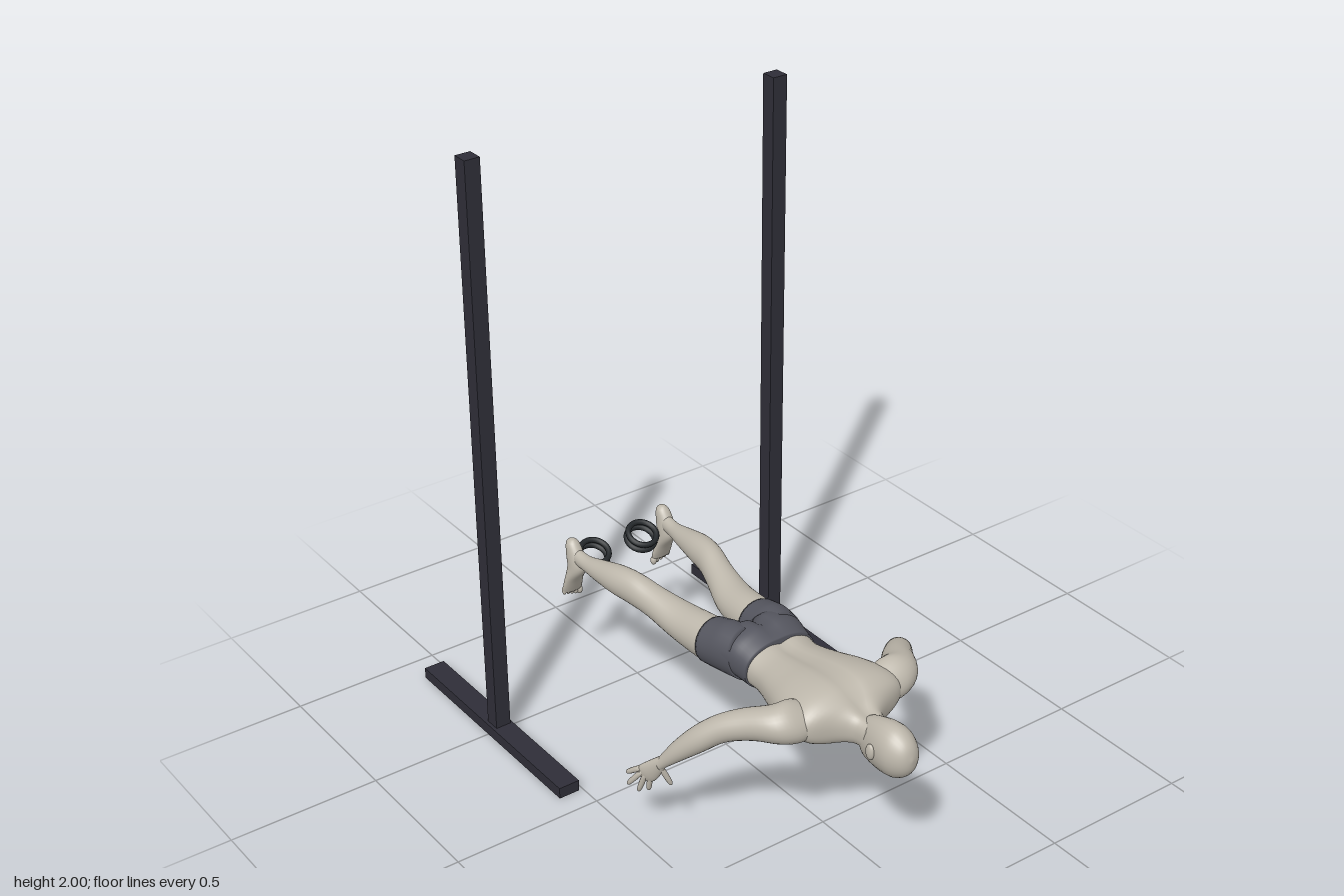
import * as THREE from 'three';

const skin = new THREE.MeshStandardMaterial({ color: 0xbdb7ab });
skin.name = 'skin';
const cloth = new THREE.MeshStandardMaterial({ color: 0x55565f });
cloth.name = 'shortsGrey';
const metal = new THREE.MeshStandardMaterial({ color: 0x2f2e38 });
metal.name = 'frameDark';
const rubber = new THREE.MeshStandardMaterial({ color: 0x23272a });
rubber.name = 'ringBlack';

// Catmull-Rom blend of number rows
function smoothRows(rows, steps) {
  const out = [];
  const at = (i) => rows[Math.max(0, Math.min(rows.length - 1, i))];
  for (let i = 0; i < rows.length - 1; i++) {
    for (let s = 0; s < steps; s++) {
      const t = s / steps;
      out.push(rows[i].map((b, k) => {
        const a = at(i - 1)[k], c = at(i + 1)[k], d = at(i + 2)[k];
        return 0.5 * (2 * b + (c - a) * t + (2 * a - 5 * b + 4 * c - d) * t * t + (3 * b - a - 3 * c + d) * t ** 3);
      }));
    }
  }
  out.push(rows[rows.length - 1]);
  return out;
}

// Closed skin over elliptic sections [x, y, z, radiusU, radiusV]; side mirrors x
function loft(name, mat, rows, { u = [1, 0, 0], side = 1, power = 2, seg = 28, steps = 4, rule } = {}) {
  const R = smoothRows(rows, steps).map((r) => [r[0] * side, ...r.slice(1)]);
  const first = new THREE.Vector3(...R[0]), last = new THREE.Vector3(...R[R.length - 1]);
  const W = last.clone().sub(first).normalize();
  const U = new THREE.Vector3(u[0] * side, u[1], u[2]);
  U.addScaledVector(W, -U.dot(W)).normalize();
  const V = W.clone().cross(U);
  const pos = [], idx = [];
  const bend = (v) => Math.sign(v) * Math.abs(v) ** (2 / power);
  for (const [x, y, z, a, b] of R) {
    for (let i = 0; i < seg; i++) {
      const t = (i / seg) * Math.PI * 2;
      const p = new THREE.Vector3(x, y, z)
        .addScaledVector(U, Math.max(a, 0.001) * bend(Math.cos(t)))
        .addScaledVector(V, Math.max(b, 0.001) * bend(Math.sin(t)));
      if (rule) rule(p);
      pos.push(p.x, p.y, p.z);
    }
  }
  for (let j = 0; j < R.length - 1; j++) {
    for (let i = 0; i < seg; i++) {
      const a = j * seg + i, b = j * seg + ((i + 1) % seg);
      idx.push(a, b, b + seg, a, b + seg, a + seg);
    }
  }
  const n = R.length * seg;
  pos.push(...first.toArray(), ...last.toArray());
  for (let i = 0; i < seg; i++) {
    const k = (i + 1) % seg, e = n - seg;
    idx.push(n, k, i, n + 1, e + i, e + k);
  }
  const g = new THREE.BufferGeometry();
  g.setAttribute('position', new THREE.Float32BufferAttribute(pos, 3));
  g.setIndex(idx);
  g.computeVertexNormals();
  const m = new THREE.Mesh(g, mat);
  m.name = name;
  return m;
}

// Section across z from [z, halfWidth, top, bottom, centreX]
const section = ([z, a, top, bottom, x = 0]) => [x, (top + bottom) / 2, z, a, (top - bottom) / 2];

function ball(name, mat, x, y, z, sx, sy, sz) {
  const m = new THREE.Mesh(new THREE.SphereGeometry(1, 16, 12), mat);
  m.name = name;
  m.position.set(x, y, z);
  m.scale.set(sx, sy, sz);
  return m;
}

function box(name, x, y, z, w, h, d) {
  const m = new THREE.Mesh(new THREE.BoxGeometry(w, h, d), metal);
  m.name = name;
  m.position.set(x, y, z);
  return m;
}

export function createModel() {
  const model = new THREE.Group();
  model.name = 'proneManWithFrame';

  // Torso with a shallow groove along the spine
  const spine = (p) => { if (p.y > 0.5) p.y -= 0.012 * Math.exp(-((p.x / 0.025) ** 2)); };
  model.add(loft('torso', skin, [
    [0.26, 0.127, 0.552, 0.398], [0.32, 0.125, 0.546, 0.395], [0.4, 0.148, 0.558, 0.387],
    [0.48, 0.178, 0.574, 0.377], [0.55, 0.195, 0.581, 0.382], [0.6, 0.195, 0.575, 0.4],
    [0.635, 0.175, 0.557, 0.41], [0.665, 0.1, 0.537, 0.415], [0.695, 0.058, 0.525, 0.415],
    [0.74, 0.05, 0.522, 0.41],
  ].map(section), { power: 2.3, seg: 48, rule: spine }));

  // Head, face down
  model.add(loft('head', skin, [
    [0.695, 0.025, 0.5, 0.4], [0.708, 0.043, 0.517, 0.377], [0.75, 0.055, 0.534, 0.372],
    [0.8, 0.062, 0.546, 0.374], [0.84, 0.06, 0.544, 0.382], [0.872, 0.045, 0.526, 0.403],
    [0.89, 0.026, 0.503, 0.43], [0.897, 0.004, 0.472, 0.462],
  ].map(section)));
  model.add(loft('nose', skin, [
    [0, 0.376, 0.805, 0.006, 0.006], [0, 0.37, 0.78, 0.009, 0.01],
    [0, 0.367, 0.765, 0.013, 0.012], [0, 0.374, 0.755, 0.006, 0.005],
  ], { seg: 12 }));
  model.add(ball('lips', skin, 0, 0.376, 0.738, 0.02, 0.007, 0.008));

  // Shorts seat
  const cleft = (p) => { if (p.y > 0.5) p.y -= 0.02 * Math.exp(-((p.x / 0.02) ** 2)) * Math.min(1, Math.max(0, (0.28 - p.z) / 0.1)); };
  model.add(loft('shortsSeat', cloth, [
    [0.276, 0.131, 0.555, 0.394], [0.24, 0.135, 0.567, 0.395], [0.2, 0.142, 0.577, 0.398],
    [0.15, 0.15, 0.57, 0.402], [0.12, 0.14, 0.55, 0.415], [0.105, 0.11, 0.53, 0.43],
  ].map(section), { power: 2.3, seg: 48, rule: cleft }));

  for (const side of [1, -1]) {
    const word = side > 0 ? 'left' : 'right';
    const opt = { side };
    model.add(ball(word + 'Ear', skin, side * 0.063, 0.46, 0.782, 0.01, 0.027, 0.017));

    // Shorts leg, then bare leg
    model.add(loft(word + 'ShortsLeg', cloth, [
      [0.2, 0.068, 0.572, 0.4, 0.073], [0.14, 0.074, 0.568, 0.397, 0.08],
      [0.1, 0.076, 0.557, 0.395, 0.084], [0.055, 0.077, 0.543, 0.393, 0.088],
    ].map(section), opt));
    model.add(loft(word + 'Leg', skin, [
      [0.08, 0.072, 0.54, 0.397, 0.088], [0, 0.068, 0.534, 0.396, 0.093], [-0.1, 0.063, 0.525, 0.41, 0.104],
      [-0.2, 0.05, 0.539, 0.435, 0.126], [-0.28, 0.046, 0.557, 0.448, 0.146], [-0.36, 0.046, 0.552, 0.453, 0.159],
      [-0.45, 0.036, 0.53, 0.459, 0.168], [-0.52, 0.025, 0.514, 0.463, 0.174], [-0.575, 0.022, 0.52, 0.46, 0.177],
    ].map(section), opt));

    // Foot with toes pointing down
    model.add(loft(word + 'Foot', skin, [
      [0.178, 0.546, -0.593, 0.006, 0.008], [0.178, 0.532, -0.592, 0.021, 0.024], [0.178, 0.49, -0.578, 0.027, 0.038],
      [0.178, 0.45, -0.572, 0.029, 0.036], [0.179, 0.4, -0.591, 0.034, 0.021], [0.178, 0.362, -0.603, 0.037, 0.014],
      [0.177, 0.344, -0.606, 0.034, 0.009],
    ], opt));
    for (let i = 0; i < 5; i++) {
      const r = i ? 0.008 : 0.011;
      model.add(ball(word + 'Toe', skin, side * (0.149 + i * 0.0145), 0.336 + i * 0.004, -0.608, r, 0.016, r));
    }

    // Arm from shoulder to wrist
    model.add(loft(word + 'Arm', skin, [
      [0.13, 0.5, 0.595, 0.045, 0.05], [0.175, 0.503, 0.58, 0.066, 0.066], [0.23, 0.498, 0.557, 0.061, 0.06],
      [0.285, 0.484, 0.49, 0.05, 0.05], [0.338, 0.458, 0.432, 0.043, 0.043], [0.385, 0.412, 0.383, 0.041, 0.04],
      [0.425, 0.358, 0.335, 0.032, 0.03], [0.453, 0.31, 0.298, 0.021, 0.018], [0.462, 0.293, 0.285, 0.019, 0.015],
    ], { side, u: [0, 1, 0] }));

    // Palm and spread fingers
    const across = [0.55, 0.35, -0.75];
    model.add(loft(word + 'Palm', skin, [
      [0.452, 0.315, 0.3, 0.017, 0.014], [0.465, 0.285, 0.278, 0.027, 0.015],
      [0.48, 0.255, 0.255, 0.034, 0.013], [0.487, 0.238, 0.242, 0.028, 0.009],
    ], { side, u: across, seg: 16 }));
    const fingers = [
      [0.497, 0.264, 0.232, 0.513, 0.234, 0.192], [0.494, 0.25, 0.238, 0.518, 0.199, 0.203],
      [0.486, 0.246, 0.25, 0.496, 0.178, 0.228], [0.475, 0.246, 0.262, 0.474, 0.186, 0.25],
      [0.457, 0.285, 0.29, 0.428, 0.217, 0.305],
    ];
    for (const [x, y, z, tx, ty, tz] of fingers) {
      const row = (t, r) => [x + (tx - x) * t, y + (ty - y) * t, z + (tz - z) * t, r, r];
      model.add(loft(word + 'Finger', skin, [row(-0.15, 0.009), row(0.5, 0.009), row(0.9, 0.007), row(1, 0.002)],
        { side, u: across, seg: 10, steps: 2 }));
    }

    // Doubled ring between the feet
    const ring = new THREE.Group();
    ring.name = word + 'Ring';
    for (const offset of [-0.014, 0.014]) {
      const t = new THREE.Mesh(new THREE.TorusGeometry(0.048, 0.0095, 10, 36), rubber);
      t.name = 'ringLoop';
      t.position.z = offset;
      ring.add(t);
    }
    ring.position.set(side * 0.095, 0.455, -0.598);
    ring.rotation.x = -Math.PI / 2 + 0.42;
    model.add(ring);

    // Upright post on its floor beam
    model.add(box(word + 'Post', side * 0.549, 1.02, -0.488, 0.052, 1.96, 0.052));
    model.add(box(word + 'FloorBeam', side * 0.549, 0.019, -0.488, 0.072, 0.038, 0.82));
  }
  return model;
}
